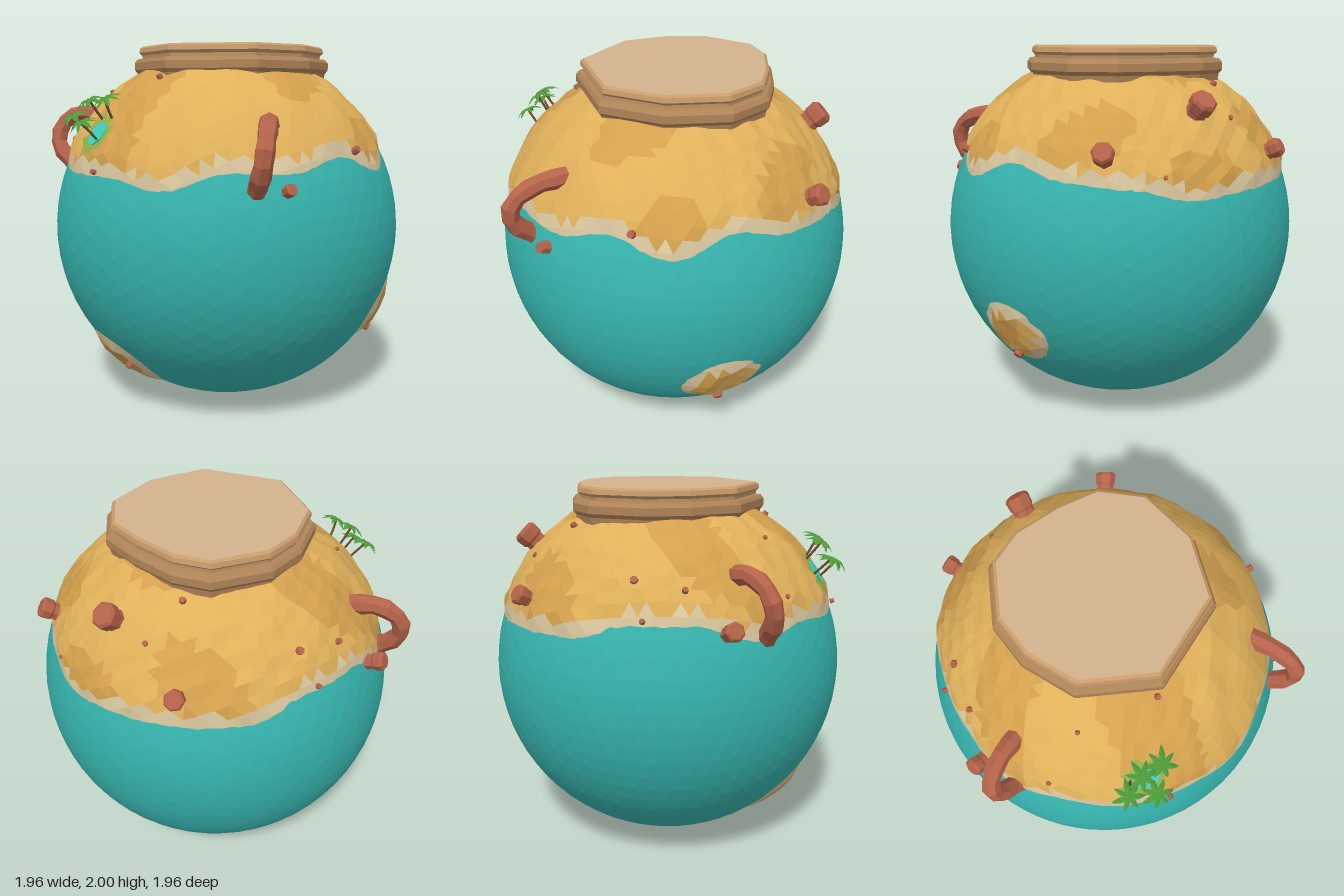
import * as THREE from 'three';

const CENTER_Y = 0.985, WATER_R = 0.98;
const V = (x, y, z) => new THREE.Vector3(x, y, z);
const UP = V(0, 1, 0);
const mat = (color, side = THREE.FrontSide) => new THREE.MeshStandardMaterial({ color, flatShading: true, side });
const COLORS = {
  water: mat(0x36b3ad), sand: mat(0xdfb05a), darkSand: mat(0xd3a04d), beach: mat(0xdcc9a0), grass: mat(0x8fb04a),
  rock: mat(0xb5634a), rimTop: mat(0xd2b48c), rimUpper: mat(0xc99b6a), rimLower: mat(0xb08458),
  trunk: mat(0x6b4a2c), leaf: mat(0x4f9a3a, THREE.DoubleSide), pond: mat(0x3fd0c0),
};

function mesh(name, geometry, material) {
  const m = new THREE.Mesh(geometry, material);
  m.name = name;
  return m;
}

function fromPoints(points) {
  const g = new THREE.BufferGeometry().setFromPoints(points);
  g.computeVertexNormals();
  return g;
}

// Stand an object on the globe along a direction
function place(object, dir, r) {
  const n = dir.clone().normalize();
  object.position.copy(n).multiplyScalar(r);
  object.quaternion.setFromUnitVectors(UP, n);
  return object;
}

// Shore height around the globe, every 20 degrees from the front towards +x
const SHORE = [1.33, 1.28, 1.37, 1.36, 1.43, 1.34, 1.44, 1.37, 1.34, 1.28, 1.3, 1.31, 1.32, 1.4, 1.4, 1.31, 1.36, 1.33];
const ISLANDS = [
  { dir: V(-0.21, -0.715, 0.64).normalize(), size: 0.245 },
  { dir: V(0.77, -0.445, -0.4).normalize(), size: 0.215 },
];
const POND = V(-0.19, 0.55, 0.81).normalize();

// How far inland a unit direction lies (negative is at sea)
function inland(n) {
  const t = ((Math.atan2(n.x, n.z) / (2 * Math.PI) + 1) % 1) * SHORE.length;
  const i = Math.floor(t) % SHORE.length;
  const f = THREE.MathUtils.smoothstep(t - Math.floor(t), 0, 1);
  const shore = THREE.MathUtils.lerp(SHORE[i], SHORE[(i + 1) % SHORE.length], f) - CENTER_Y;
  let d = n.y * WATER_R - shore;
  for (const { dir, size } of ISLANDS) {
    const wobble = 0.015 * Math.sin(9 * n.x + 11 * n.y);
    d = Math.max(d, size + wobble - n.angleTo(dir));
  }
  return d;
}

const bumps = (n) => Math.sin(17 * n.x + 5 * n.y) * Math.sin(15 * n.z - 4 * n.x) + 0.6 * Math.sin(41 * n.x + 29 * n.z + 23 * n.y);

function raise(p) {
  const n = p.clone().normalize();
  const d = inland(n);
  let r = WATER_R + 0.022 * THREE.MathUtils.clamp(d / 0.08, -1.5, 1);
  if (d > 0.05 && n.angleTo(POND) > 0.13) r += 0.008 * bumps(n);
  return n.multiplyScalar(r);
}

// Land faces, sorted by colour
function makeLand() {
  const land = new THREE.Group();
  land.name = 'land';
  const parts = { sand: [], darkSand: [], beach: [], grass: [] };
  const pos = new THREE.IcosahedronGeometry(1, 15).attributes.position;
  for (let i = 0; i < pos.count; i += 3) {
    const tri = [0, 1, 2].map((k) => V().fromBufferAttribute(pos, i + k));
    const mid = tri[0].clone().add(tri[1]).add(tri[2]).normalize();
    const d = inland(mid);
    if (d < -0.1) continue;
    let key = Math.sin(6 * mid.x + 2) * Math.sin(7 * mid.z + 5 * mid.y) > 0.3 ? 'darkSand' : 'sand';
    if (d < 0.06) key = 'beach';
    else if (mid.angleTo(POND) < 0.11) key = 'grass';
    parts[key].push(...tri.map(raise));
  }
  for (const key in parts) land.add(mesh(key, fromPoints(parts[key]), COLORS[key]));
  return land;
}

// Irregular rim: one outline scaled at several heights
const OUTLINE = [[-0.26, -0.49], [0, -0.525], [0.23, -0.52], [0.44, -0.37], [0.53, -0.05], [0.45, 0.29],
  [0.03, 0.53], [-0.35, 0.38], [-0.5, 0.13], [-0.54, -0.1], [-0.43, -0.39]];
const ring = ([scale, y]) => OUTLINE.map(([x, z]) => V(x * scale, y - CENTER_Y, z * scale));

function loft(profile) {
  const rings = profile.map(ring), pts = [];
  for (let k = 0; k + 1 < rings.length; k++) {
    for (let i = 0; i < OUTLINE.length; i++) {
      const j = (i + 1) % OUTLINE.length;
      const a = rings[k][i], b = rings[k + 1][i], c = rings[k + 1][j], d = rings[k][j];
      pts.push(a, b, c, a, c, d);
    }
  }
  return fromPoints(pts);
}

function makeRim() {
  const rim = new THREE.Group();
  rim.name = 'rim';
  rim.add(mesh('lowerBand', loft([[0.96, 1.78], [0.98, 1.85], [1.01, 1.87], [1.01, 1.91], [0.98, 1.93], [0.9, 1.935]]), COLORS.rimLower));
  rim.add(mesh('upperBand', loft([[0.92, 1.92], [0.93, 1.95], [0.96, 1.965], [0.95, 1.99], [0.92, 2]]), COLORS.rimUpper));
  const top = ring([0.92, 2]);
  const cap = top.flatMap((p, i) => [V(0, 2 - CENTER_Y, 0), top[(i + 1) % top.length], p]);
  rim.add(mesh('topPlate', fromPoints(cap), COLORS.rimTop));
  return rim;
}

// Rock arch: a faceted tube, thicker at the feet
function makeArch(points) {
  const curve = new THREE.CatmullRomCurve3(points.map(([x, y, z]) => V(x, y - CENTER_Y, z)));
  const segs = 9, sides = 7;
  const g = new THREE.TubeGeometry(curve, segs, 0.05, sides);
  const pos = g.attributes.position;
  for (let i = 0; i < pos.count; i++) {
    const k = Math.floor(i / (sides + 1));
    const c = curve.getPointAt(k / segs);
    const s = 0.9 + 0.3 * Math.abs(k / segs - 0.5) + (k % 2 ? 0.06 : -0.04);
    const p = V().fromBufferAttribute(pos, i).sub(c).multiplyScalar(s).add(c);
    pos.setXYZ(i, p.x, p.y, p.z);
  }
  return mesh('rockArch', g, COLORS.rock);
}

// Rock stump with a wider cap
function makeStump(s) {
  const profile = [[0.9, -0.6], [0.85, 0.5], [1, 0.7], [1.05, 1.5], [0.85, 1.75], [0, 1.75]];
  return mesh('rockStump', new THREE.LatheGeometry(profile.map(([r, y]) => new THREE.Vector2(r * s, y * s)), 7), COLORS.rock);
}

// Palm: curved trunk and a crown of drooping leaves
function makeLeaf() {
  const len = 0.09, g = new THREE.PlaneGeometry(1, 1, 2, 4);
  const pos = g.attributes.position;
  for (let i = 0; i < pos.count; i++) {
    const t = pos.getY(i) + 0.5;
    const side = pos.getX(i) * 2;
    const w = 0.016 * Math.sin(Math.PI * (0.12 + 0.88 * t));
    pos.setXYZ(i, side * w, 0.03 * t - 0.065 * t * t - Math.abs(side) * w * 0.5, t * len);
  }
  g.computeVertexNormals();
  return g;
}

function makePalm(base, top, turn) {
  const palm = new THREE.Group();
  palm.name = 'palm';
  const foot = V(...base).setY(base[1] - CENTER_Y).setLength(0.985);
  const crownAt = V(...top).setY(top[1] - CENTER_Y);
  const bend = foot.clone().lerp(crownAt, 0.5).addScaledVector(POND, 0.015);
  const trunk = new THREE.TubeGeometry(new THREE.QuadraticBezierCurve3(foot, bend, crownAt), 5, 0.007, 5);
  palm.add(mesh('trunk', trunk, COLORS.trunk));
  const crown = new THREE.Group();
  crown.name = 'crown';
  crown.position.copy(crownAt);
  crown.quaternion.setFromUnitVectors(UP, POND.clone().add(UP).normalize());
  for (let i = 0; i < 7; i++) {
    const leaf = mesh('leaf', makeLeaf(), COLORS.leaf);
    leaf.rotation.y = turn + (i * 2 * Math.PI) / 7;
    leaf.scale.setScalar(i % 2 ? 1 : 0.88);
    crown.add(leaf);
  }
  palm.add(crown);
  return palm;
}

export function createModel() {
  const model = new THREE.Group();
  const globe = new THREE.Group();
  globe.name = 'globe';
  globe.position.y = CENTER_Y;
  model.add(globe);

  globe.add(mesh('water', new THREE.IcosahedronGeometry(WATER_R, 11), COLORS.water), makeLand(), makeRim());

  globe.add(makeArch([[0.62, 1.6, 0.42], [0.72, 1.58, 0.56], [0.78, 1.5, 0.66], [0.77, 1.39, 0.67], [0.67, 1.27, 0.59]]));
  globe.add(makeArch([[-0.66, 1.6, 0.34], [-0.8, 1.62, 0.42], [-0.88, 1.55, 0.49], [-0.87, 1.43, 0.52], [-0.75, 1.31, 0.49]]));

  // Stumps: direction and size
  for (const [x, y, z, s] of [[-0.11, 0.745, -0.78, 0.066], [0.43, 0.525, -0.81, 0.055], [-0.58, 0.5, -0.74, 0.05], [-0.92, 0.4, 0.33, 0.048]])
    globe.add(place(makeStump(s), V(x, y, z), 0.995));

  // Pebbles: direction and size
  const pebbles = [[-0.41, 0.77, 0.51, 0.014], [0, 0.85, 0.55, 0.018], [-0.62, 0.5, 0.6, 0.016], [-0.1, 0.365, 0.92, 0.015],
    [0.8, 0.3, 0.5, 0.036], [0.88, 0.47, 0.04, 0.023], [-0.78, 0.61, -0.14, 0.024], [-0.81, 0.57, 0.1, 0.018],
    [-0.33, 0.81, -0.48, 0.02], [-0.31, 0.65, -0.69, 0.017], [0.15, 0.41, -0.9, 0.013], [-0.89, 0.44, -0.1, 0.015],
    [-0.1, -0.705, 0.7, 0.022], [0.73, -0.565, -0.37, 0.028]];
  for (const [x, y, z, s] of pebbles) {
    const pebble = mesh('pebble', new THREE.CylinderGeometry(s * 0.8, s, s * 1.6, 7), COLORS.rock);
    globe.add(place(pebble, V(x, y, z), 1.002));
  }

  // Oasis
  globe.add(place(mesh('pond', new THREE.CylinderGeometry(0.07, 0.07, 0.012, 8), COLORS.pond), POND, 0.999));
  globe.add(makePalm([-0.27, 1.54, 0.8], [-0.32, 1.63, 0.87], 0.2));
  globe.add(makePalm([-0.22, 1.61, 0.76], [-0.23, 1.71, 0.83], 0.6));
  globe.add(makePalm([-0.13, 1.61, 0.77], [-0.12, 1.72, 0.82], 0));
  globe.add(makePalm([-0.16, 1.5, 0.84], [-0.19, 1.6, 0.92], 0.4));
  return model;
}
